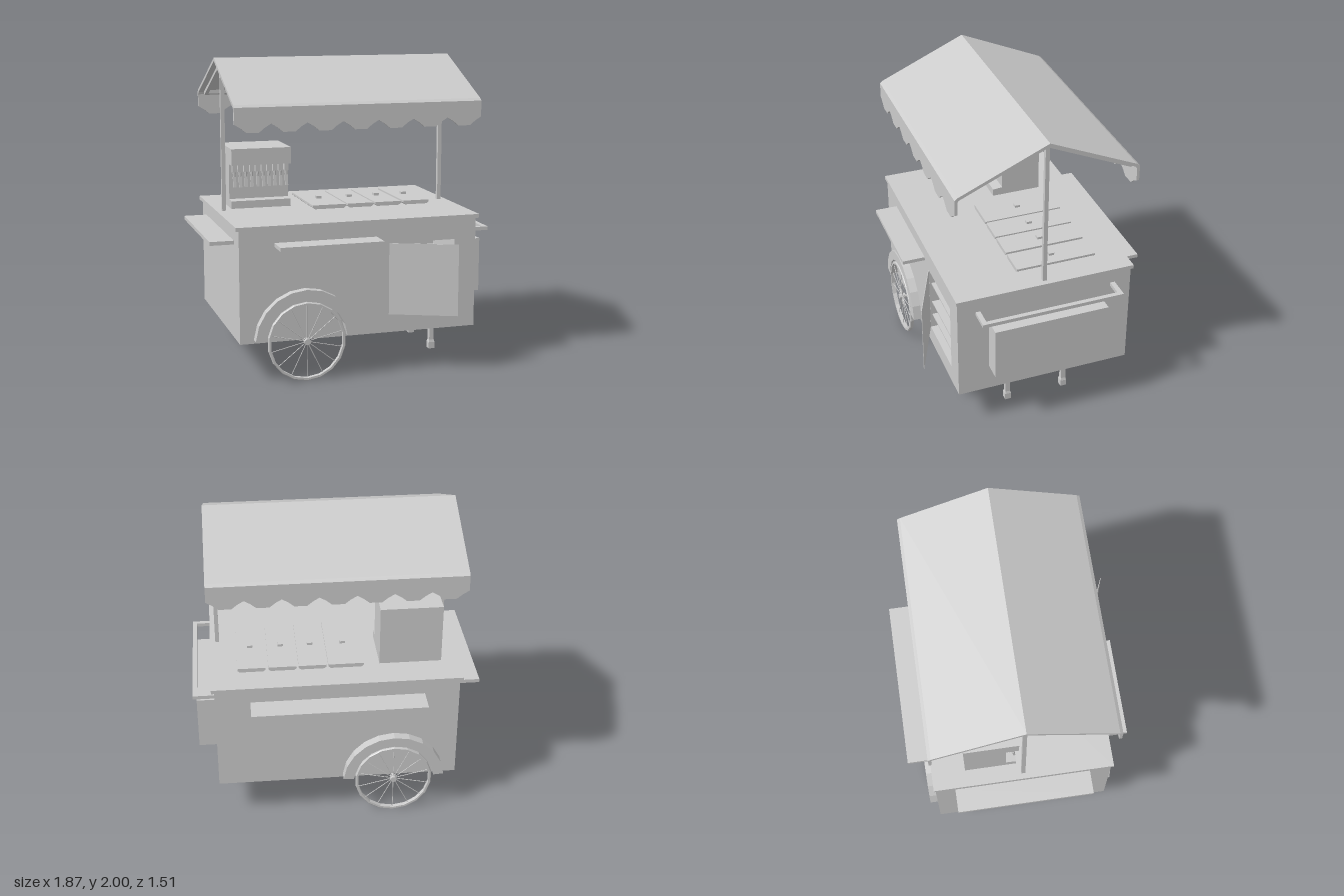
import * as THREE from 'three';

const mat = new THREE.MeshStandardMaterial({ color: 0xcccccc, flatShading: true, side: THREE.DoubleSide });

function add(parent, name, geo) {
  const m = new THREE.Mesh(geo, mat);
  m.name = name;
  parent.add(m);
  return m;
}

// Box given by its minimum and maximum on each axis
function box(parent, name, x0, x1, y0, y1, z0, z1) {
  const m = add(parent, name, new THREE.BoxGeometry(x1 - x0, y1 - y0, z1 - z0));
  m.position.set((x0 + x1) / 2, (y0 + y1) / 2, (z0 + z1) / 2);
  return m;
}

function polygon(points) {
  return new THREE.Shape(points.map(([x, y]) => new THREE.Vector2(x, y)));
}

function extrude(shape, depth) {
  return new THREE.ExtrudeGeometry(shape, { depth, bevelEnabled: false });
}

// Profile drawn in (z, y), extruded along x from x0 to x1
function extrudeX(parent, name, points, x0, x1) {
  const m = add(parent, name, extrude(polygon(points.map(([z, y]) => [-z, y])), x1 - x0));
  m.rotation.y = Math.PI / 2;
  m.position.x = x0;
  return m;
}

function makeWheel() {
  const wheel = new THREE.Group();
  wheel.name = 'wheel';
  const rim = [[0.237, -0.014], [0.25, -0.014], [0.255, -0.008], [0.255, 0.008], [0.25, 0.014], [0.237, 0.014], [0.237, -0.014]];
  add(wheel, 'rim', new THREE.LatheGeometry(rim.map(p => new THREE.Vector2(...p)), 18)).rotation.x = Math.PI / 2;
  add(wheel, 'hub', new THREE.CylinderGeometry(0.02, 0.02, 0.04, 10)).rotation.x = Math.PI / 2;
  for (let i = 0; i < 14; i++) {
    const a = (i / 14) * Math.PI * 2;
    const spoke = add(wheel, 'spoke', new THREE.CylinderGeometry(0.0025, 0.0025, 0.23, 5));
    spoke.position.set(Math.sin(a) * 0.127, Math.cos(a) * 0.127, 0);
    spoke.rotation.z = -a;
  }
  return wheel;
}

// Faceted arch over a wheel
function fenderGeometry() {
  const outer = [], inner = [], n = 10;
  for (let i = 0; i <= n; i++) {
    const a = THREE.MathUtils.degToRad(4 + (172 * i) / n);
    outer.push([Math.cos(a) * 0.333, Math.sin(a) * 0.333]);
    inner.unshift([Math.cos(a) * 0.265, Math.sin(a) * 0.265]);
  }
  return extrude(polygon([...outer, ...inner]), 0.06);
}

function makeTap() {
  const tap = new THREE.Group();
  tap.name = 'tap';
  box(tap, 'tapBody', -0.014, 0.014, 1.24, 1.29, -0.09, -0.06);
  const neck = add(tap, 'tapNeck', new THREE.CylinderGeometry(0.012, 0.006, 0.05, 6));
  neck.position.set(0, 1.22, -0.07);
  const lever = box(tap, 'tapLever', -0.01, 0.01, 1.14, 1.21, -0.068, -0.056);
  lever.rotation.x = -0.15;
  return tap;
}

export function createModel() {
  const cart = new THREE.Group();
  cart.name = 'foodCart';

  // Cabinet with a cupboard opening in the front
  const front = polygon([[-0.78, 0.255], [0.79, 0.255], [0.79, 0.975], [-0.78, 0.975]]);
  front.holes.push(new THREE.Path([[0.2, 0.375], [0.2, 0.842], [0.645, 0.842], [0.645, 0.375]].map(p => new THREE.Vector2(...p))));
  add(cart, 'cabinetFront', extrude(front, 0.375)).position.z = 0.2;
  box(cart, 'cabinetBack', -0.78, 0.79, 0.255, 0.975, -0.595, 0.2);
  for (const y of [0.47, 0.575, 0.725]) box(cart, 'cupboardShelf', 0.2, 0.645, y, y + 0.01, 0.2, 0.56);
  box(cart, 'counter', -0.8, 0.81, 0.975, 1.0, -0.605, 0.585);

  // Cupboard door, swung open on its hinge
  const hinge = new THREE.Group();
  hinge.name = 'door';
  hinge.position.set(0.198, 0, 0.577);
  hinge.rotation.y = -0.398;
  box(hinge, 'doorPanel', 0, 0.442, 0.375, 0.843, -0.002, 0.002);
  cart.add(hinge);

  // Fold-out shelves, end box and push handle
  box(cart, 'frontShelf', -0.555, 0.115, 0.866, 0.89, 0.575, 0.725);
  box(cart, 'backShelf', -0.555, 0.565, 0.866, 0.89, -0.755, -0.595);
  box(cart, 'endShelf', -0.935, -0.78, 0.866, 0.89, -0.465, 0.435);
  box(cart, 'endBox', 0.79, 0.91, 0.432, 0.79, -0.395, 0.368);
  box(cart, 'handleBar', 0.9, 0.93, 0.862, 0.886, -0.487, 0.455);
  box(cart, 'handleArm', 0.79, 0.9, 0.862, 0.886, -0.487, -0.455);
  box(cart, 'handleArm', 0.79, 0.9, 0.862, 0.886, 0.424, 0.455);

  // Wheels, fenders and axle
  for (const [wheelZ, fenderZ] of [[0.62, 0.57], [-0.64, -0.655]]) {
    const wheel = makeWheel();
    wheel.position.set(-0.36, 0.255, wheelZ);
    cart.add(wheel);
    add(cart, 'fender', fenderGeometry()).position.set(-0.36, 0.257, fenderZ);
  }
  const axle = add(cart, 'axle', new THREE.CylinderGeometry(0.012, 0.012, 1.26, 8));
  axle.rotation.x = Math.PI / 2;
  axle.position.set(-0.36, 0.25, -0.01);

  // Legs with flared feet
  for (const z of [0.19, -0.21]) {
    box(cart, 'leg', 0.625, 0.657, 0.06, 0.256, z - 0.016, z + 0.016);
    box(cart, 'foot', 0.62, 0.662, 0, 0.045, z - 0.021, z + 0.021);
    const flare = add(cart, 'footFlare', new THREE.CylinderGeometry(0.0225, 0.0297, 0.018, 4).rotateY(Math.PI / 4));
    flare.position.set(0.641, 0.053, z);
  }

  // Container lids with bevelled undersides and knobs
  for (const [x0, x1] of [[-0.18, 0.05], [0.062, 0.242], [0.255, 0.437], [0.455, 0.637]]) {
    const cx = (x0 + x1) / 2, w = x1 - x0;
    const lid = add(cart, 'lid', extrude(polygon([[-w / 2 + 0.015, 0], [w / 2 - 0.015, 0], [w / 2, 0.012], [w / 2, 0.026], [-w / 2, 0.026], [-w / 2, 0.012]]), 0.535));
    lid.position.set(cx, 1.0, -0.41);
    box(cart, 'lidKnob', cx - 0.018, cx + 0.018, 1.026, 1.042, -0.158, -0.122);
  }

  // Drink dispenser with a row of taps
  extrudeX(cart, 'dispenser', [[-0.385, 1.0], [-0.048, 1.0], [-0.048, 1.05], [-0.115, 1.055], [-0.115, 1.29], [-0.03, 1.29], [-0.03, 1.4], [-0.385, 1.4]], -0.69, -0.285);
  for (let i = 0; i < 10; i++) {
    const tap = makeTap();
    tap.position.x = -0.664 + i * 0.0393;
    cart.add(tap);
  }

  // Canopy posts
  for (const x of [-0.75, 0.76]) box(cart, 'post', x - 0.013, x + 0.013, 1.0, 1.975, -0.023, 0.003);

  // Pitched canopy
  const half = [[0, 2.0], [0.57, 1.75], [0.59, 1.735], [0.59, 1.715], [0.572, 1.715], [0.565, 1.73], [0, 1.978]];
  const mid = -0.009;
  for (const s of [1, -1]) {
    extrudeX(cart, 'canopyPanel', half.map(([z, y]) => [mid + s * z, y]), -0.8, 0.81);
    // Frame under the panel: two rafters and an eave rail
    const rafter = [[0, 1.98], [0.55, 1.738], [0.55, 1.712], [0, 1.955]].map(([z, y]) => [mid + s * z, y]);
    for (const x of [-0.762, 0.748]) extrudeX(cart, 'rafter', rafter, x, x + 0.025);
    const rail = [[0.525, 1.75], [0.55, 1.738], [0.55, 1.712], [0.525, 1.723]].map(([z, y]) => [mid + s * z, y]);
    extrudeX(cart, 'eaveRail', rail, -0.737, 0.748);

    // Scalloped valance
    const edge = [[-0.8, 1.72]], step = 1.61 / 7;
    for (let i = 0; i < 7; i++) {
      for (const [t, y] of [[0, 1.633], [0.17, 1.61], [0.33, 1.58], [0.67, 1.58], [0.83, 1.61]]) {
        edge.push([-0.8 + (i + t) * step, y]);
      }
    }
    edge.push([0.81, 1.633], [0.81, 1.72]);
    add(cart, 'valance', extrude(polygon(edge), 0.018)).position.z = mid + s * 0.581 - 0.009;
  }

  return cart;
}
